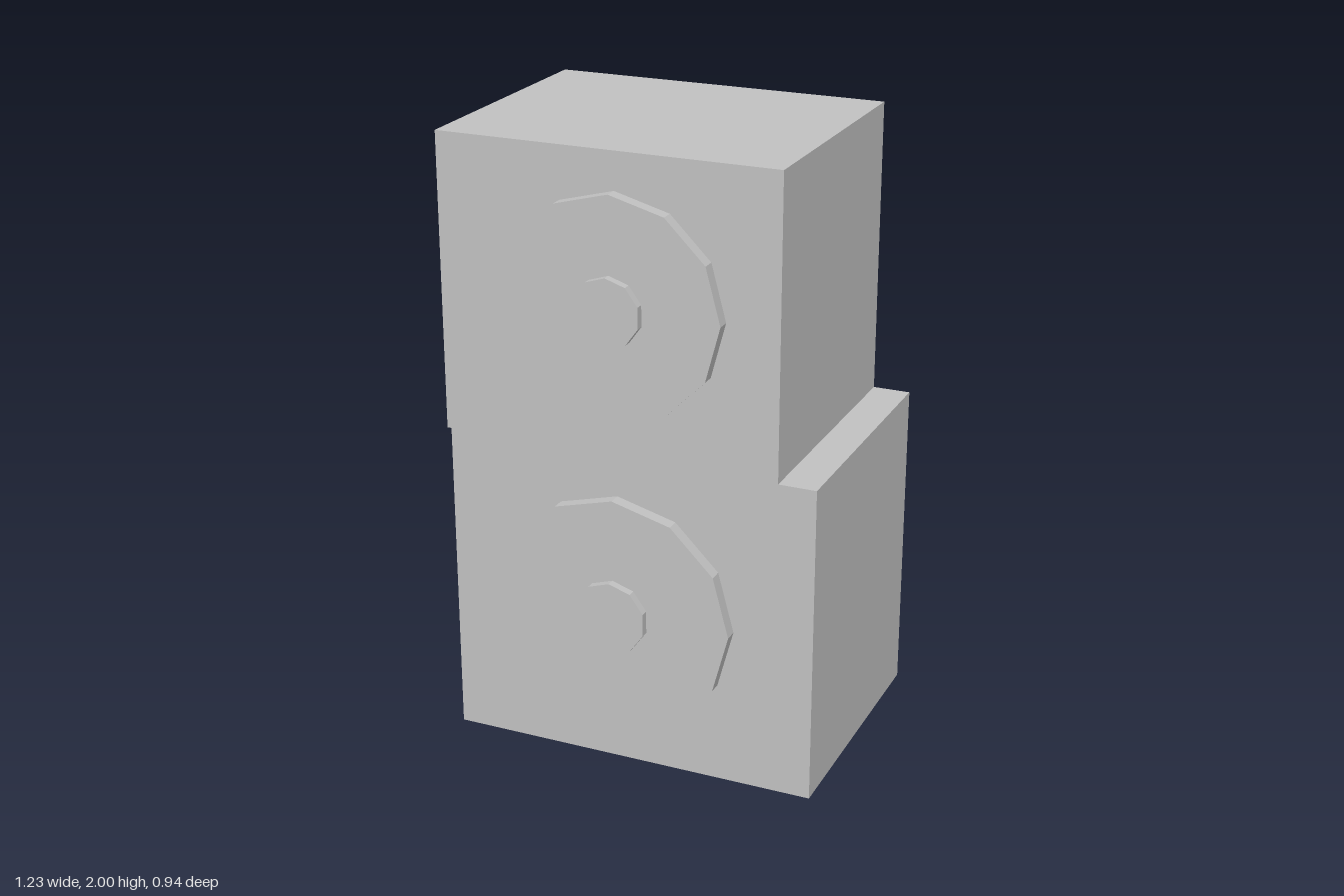
import * as THREE from 'three';

const grey = new THREE.MeshStandardMaterial({ color: 0xc0c0c0, flatShading: true });
grey.name = 'grey';

const BACK = -0.47, FRONT = 0.4;

// Cabinet box given by its left/right and bottom/top limits
function cabinet(name, x0, x1, y0, y1) {
  const mesh = new THREE.Mesh(new THREE.BoxGeometry(x1 - x0, y1 - y0, FRONT - BACK), grey);
  mesh.position.set((x0 + x1) / 2, (y0 + y1) / 2, (FRONT + BACK) / 2);
  mesh.name = name;
  return mesh;
}

// Flat faceted disc facing +z
function disc(name, radius, z0, z1, sides) {
  const geometry = new THREE.CylinderGeometry(radius, radius, z1 - z0, sides).rotateX(Math.PI / 2);
  const mesh = new THREE.Mesh(geometry, grey);
  mesh.position.z = (z0 + z1) / 2;
  mesh.name = name;
  return mesh;
}

// Speaker: wide cone disc with a small centre cap
function speaker(name, y, coneRadius, capRadius) {
  const group = new THREE.Group();
  group.name = name;
  group.add(
    disc('cone', coneRadius, FRONT, 0.443, 12),
    disc('centreCap', capRadius, 0.443, 0.47, 10),
  );
  group.position.set(-0.03, y, 0);
  return group;
}

export function createModel() {
  const model = new THREE.Group();
  model.name = 'speakerStack';
  model.add(
    cabinet('lowerCabinet', -0.603, 0.617, 0, 1.045),
    cabinet('upperCabinet', -0.617, 0.495, 1.045, 2),
    speaker('lowerSpeaker', 0.525, 0.388, 0.12),
    speaker('upperSpeaker', 1.525, 0.355, 0.11),
  );
  return model;
}
